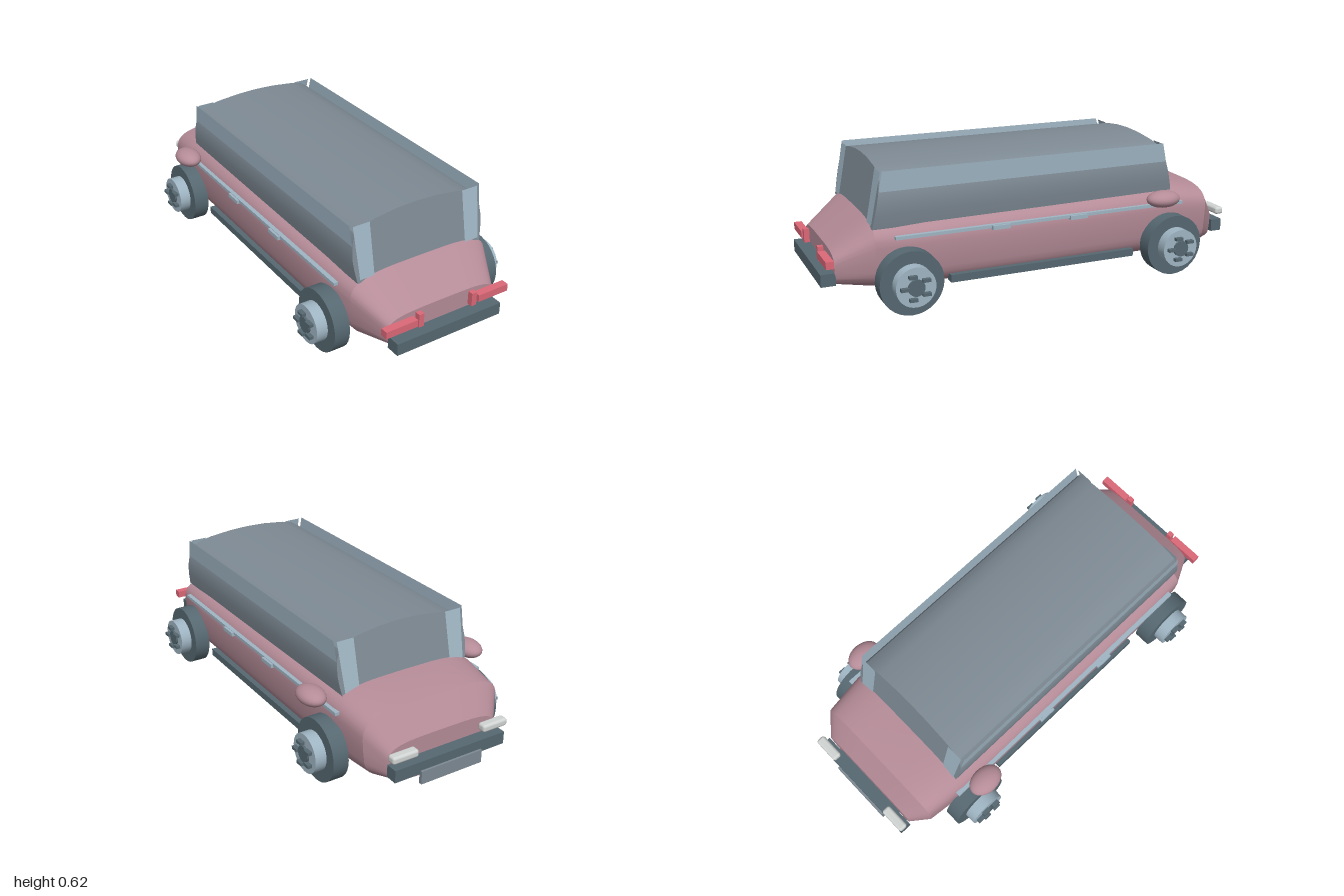
import * as THREE from 'three';
import { toCreasedNormals } from 'three/addons/utils/BufferGeometryUtils.js';
import { RoundedBoxGeometry } from 'three/addons/geometries/RoundedBoxGeometry.js';

const paint = (name, color, side = THREE.FrontSide) => {
  const m = new THREE.MeshStandardMaterial({ color, side });
  m.name = name;
  return m;
};

// Closed hull through superellipse sections [z, halfWidth, yBottom, yTop], listed from +z to -z
function loftBody(stations, sides = 48, power = 4) {
  const pos = [], index = [];
  for (const [z, hw, y0, y1] of stations) {
    for (let i = 0; i < sides; i++) {
      const a = (i / sides) * Math.PI * 2, c = Math.cos(a), s = Math.sin(a);
      const u = Math.sign(c) * Math.abs(c) ** (2 / power);
      const v = Math.sign(s) * Math.abs(s) ** (2 / power);
      pos.push(u * hw * (0.975 + 0.04 * v), (y0 + y1) / 2 + (v * (y1 - y0)) / 2, z);
    }
  }
  const last = stations.length - 1;
  for (let k = 0; k < last; k++) {
    for (let i = 0; i < sides; i++) {
      const j = (i + 1) % sides, a = k * sides + i, b = k * sides + j;
      index.push(a, a + sides, b, b, a + sides, b + sides);
    }
  }
  for (let i = 1; i < sides - 1; i++) {
    index.push(0, i, i + 1, last * sides, last * sides + i + 1, last * sides + i);
  }
  const g = new THREE.BufferGeometry();
  g.setAttribute('position', new THREE.Float32BufferAttribute(pos, 3));
  g.setIndex(index);
  return toCreasedNormals(g, 0.45);
}

// Sloping ends of the cabin
const endZ = (y, dir) => (dir > 0 ? 0.78 - (y - 0.38) * 0.19 : -0.665 + (y - 0.38) * 0.24);

function cabinGeometry() {
  const half = [[0.316, 0.36], [0.326, 0.42], [0.33, 0.47], [0.324, 0.53], [0.305, 0.57],
    [0.27, 0.593], [0.21, 0.608], [0.1, 0.621]];
  const outline = [...half, [0, 0.625], ...half.slice().reverse().map(([x, y]) => [-x, y])];
  const shape = new THREE.Shape(outline.map(([x, y]) => new THREE.Vector2(x, y)));
  const g = new THREE.ExtrudeGeometry(shape, { depth: 1, bevelEnabled: false });
  const p = g.attributes.position;
  for (let i = 0; i < p.count; i++) {
    const y = p.getY(i);
    p.setZ(i, THREE.MathUtils.lerp(endZ(y, -1), endZ(y, 1), p.getZ(i)));
  }
  return toCreasedNormals(g, 0.5);
}

function quad(a, b, c, d) {
  const g = new THREE.BufferGeometry();
  g.setAttribute('position', new THREE.Float32BufferAttribute([...a, ...b, ...c, ...d], 3));
  g.setIndex([0, 1, 2, 0, 2, 3]);
  g.computeVertexNormals();
  return g;
}

export function createModel() {
  const car = new THREE.Group();
  car.name = 'car';
  const body = paint('dusty rose', 0xb58c98);
  const grey = paint('cabin grey', 0x7e8a94);
  const dark = paint('dark slate', 0x566871);
  const steel = paint('pale steel', 0x9fb5c3);
  const glass = paint('pale glass', 0x9fb5c3, THREE.DoubleSide);
  const red = paint('lamp red', 0xdc6878);
  const white = paint('lamp white', 0xd0d4d2);

  const add = (name, geometry, material, parent = car) => {
    const mesh = new THREE.Mesh(geometry, material);
    mesh.name = name;
    parent.add(mesh);
    return mesh;
  };
  // Box given by its limits on each axis
  const box = (name, material, [x0, x1], [y0, y1], [z0, z1], radius = 0) => {
    const w = x1 - x0, h = y1 - y0, d = z1 - z0;
    const g = radius ? new RoundedBoxGeometry(w, h, d, 3, radius) : new THREE.BoxGeometry(w, h, d);
    add(name, g, material).position.set((x0 + x1) / 2, (y0 + y1) / 2, (z0 + z1) / 2);
  };
  const span = (s, a, b) => (s > 0 ? [a, b] : [-b, -a]);

  add('body', loftBody([
    [0.94, 0.275, 0.1, 0.262], [0.78, 0.355, 0.078, 0.388], [0.55, 0.37, 0.065, 0.396],
    [0, 0.37, 0.06, 0.403], [-0.66, 0.37, 0.06, 0.413], [-0.85, 0.348, 0.068, 0.38],
    [-0.93, 0.275, 0.075, 0.262],
  ]), body);
  add('cabin', cabinGeometry(), grey);

  // Wheel with its outer face along +x
  const makeWheel = () => {
    const wheel = new THREE.Group();
    wheel.name = 'wheel';
    const disc = (name, r, x0, x1, material, sides) => {
      const m = add(name, new THREE.CylinderGeometry(r, r, x1 - x0, sides), material, wheel);
      m.rotation.z = -Math.PI / 2;
      m.position.x = (x0 + x1) / 2;
    };
    disc('tyre', 0.142, 0.355, 0.428, dark, 32);
    disc('hub', 0.088, 0.42, 0.48, steel, 32);
    disc('hubCap', 0.037, 0.475, 0.49, dark, 20);
    for (let i = 0; i < 5; i++) {
      const a = (i / 5) * Math.PI * 2;
      add('lug', new THREE.BoxGeometry(0.03, 0.014, 0.036), dark, wheel)
        .position.set(0.485, Math.sin(a) * 0.052, Math.cos(a) * 0.052);
    }
    return wheel;
  };

  for (const s of [1, -1]) {
    for (const z of [0.65, -0.63]) {
      const wheel = makeWheel();
      wheel.position.set(0, 0.142, z);
      if (s < 0) wheel.rotation.y = Math.PI;
      car.add(wheel);
    }

    // Glass: leaning side panes and corner panes at both ends
    const top = 0.605, low = 0.375;
    add('sideWindow', quad(
      [s * 0.318, low, endZ(low, 1)], [s * 0.318, low, endZ(low, -1)],
      [s * 0.329, 0.61, endZ(0.61, -1)], [s * 0.329, 0.61, endZ(0.61, 1)]), glass);
    for (const d of [1, -1]) {
      const zt = endZ(top, d) + d * 0.004, zl = endZ(low, d) + d * 0.004;
      add('cornerWindow', quad(
        [s * 0.235, low, zl], [s * 0.305, low, zl],
        [s * 0.316, top, zt], [s * 0.235, top, zt]), glass);
    }

    // Side trim, handles, skirt and mirror
    box('sideTrim', steel, span(s, 0.355, 0.376), [0.322, 0.336], [-0.7, 0.7]);
    for (const z of [0.225, -0.15]) {
      box('doorHandle', steel, span(s, 0.36, 0.388), [0.316, 0.334], [z - 0.042, z + 0.042]);
    }
    box('sideSkirt', dark, span(s, 0.32, 0.366), [0.096, 0.13], [-0.445, 0.455]);
    const mirror = add('mirror', new THREE.SphereGeometry(1, 24, 16), body);
    mirror.scale.set(0.058, 0.039, 0.082);
    mirror.position.set(s * 0.411, 0.369, -0.57);

    // Lamps
    box('redLampBar', red, span(s, 0.158, 0.314), [0.212, 0.245], [0.95, 0.985]);
    box('redLampPost', red, span(s, 0.124, 0.149), [0.2, 0.262], [0.955, 0.98]);
    box('whiteLamp', white, span(s, 0.165, 0.292), [0.215, 0.25], [-0.993, -0.95], 0.012);
  }
  for (const [z0, z1] of [[0.92, 0.96], [-0.96, -0.92]]) {
    box('bumperMount', dark, [-0.2, 0.2], [0.135, 0.165], [z0, z1]);
  }
  box('bumper', dark, [-0.267, 0.267], [0.12, 0.176], [0.935, 1]);
  box('bumper', dark, [-0.28, 0.28], [0.13, 0.187], [-0.99, -0.935]);
  box('lowerPlate', grey, [-0.155, 0.155], [0.085, 0.145], [-1, -0.984]);
  return car;
}
